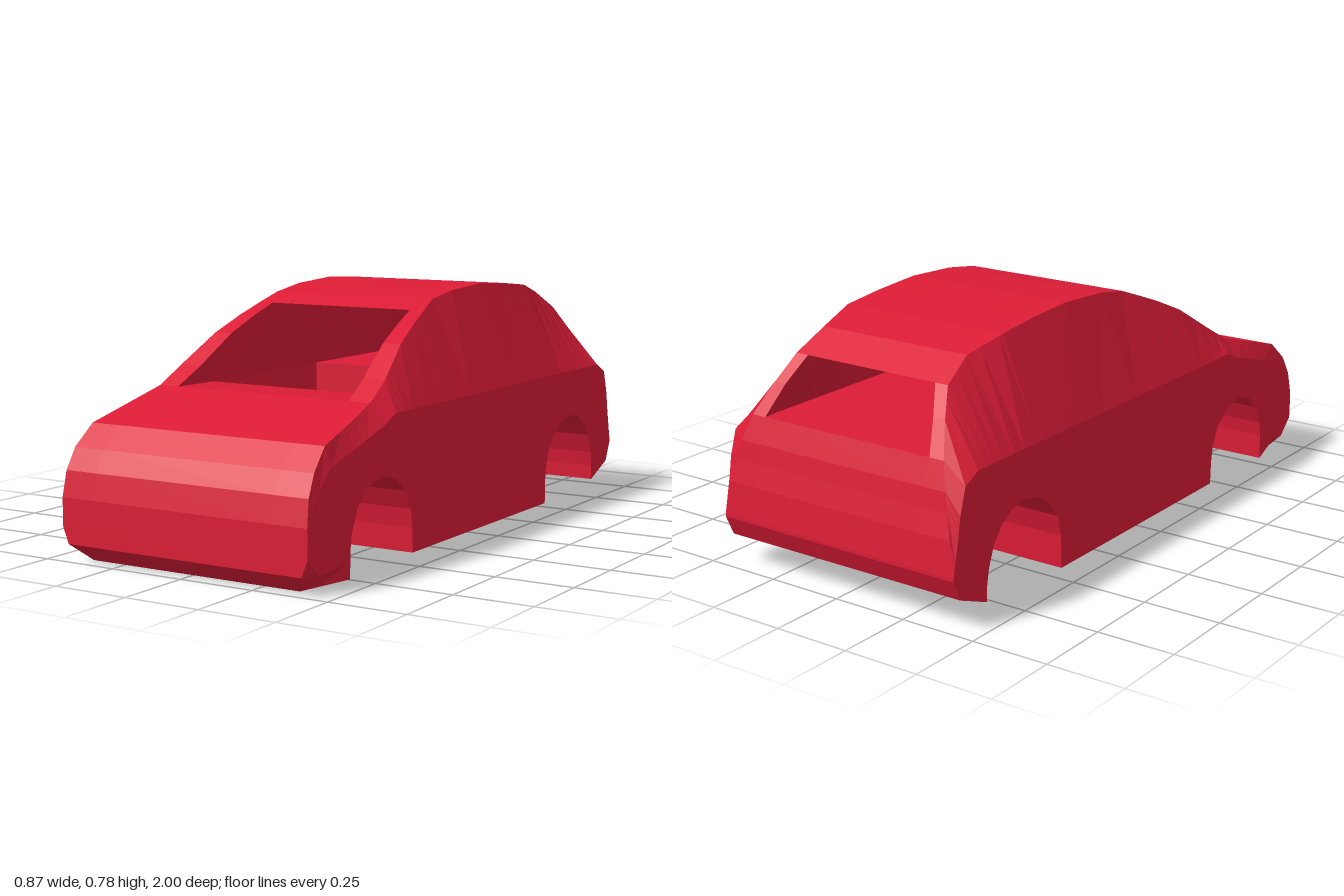
import * as THREE from 'three';

// Side outline, front to back: [z, height, half width of the upper edge]
const TOP = [[1, .2, .435], [.985, .28, .43], [.95, .345, .425], [.88, .41, .415], [.72, .455, .4], [.59, .493, .385],
  [.49, .55, .375], [.35, .64, .345], [.24, .69, .325], [.15, .725, .31], [.07, .755, .295], [-.06, .775, .295],
  [-.25, .785, .295], [-.42, .775, .295], [-.57, .76, .295], [-.71, .725, .27], [-.82, .665, .285], [-.88, .585, .32],
  [-.94, .49, .36], [-.965, .41, .385], [-.975, .35, .4], [-.99, .28, .415], [-1, .175, .435]];
// Underside with both wheel arches: [z, height, half width]
const BOTTOM = [[1, .06, .415], [.94, .005, .37], [.781, .015, .435], [.779, .1, .435], [.77, .15, .435], [.74, .215, .435],
  [.685, .265, .435], [.605, .285, .435], [.53, .265, .435], [.47, .22, .435], [.44, .16, .435], [.431, .1, .435],
  [.429, .025, .435], [-.469, .025, .435], [-.471, .13, .435], [-.49, .2, .435], [-.53, .25, .435], [-.585, .29, .435],
  [-.66, .305, .435], [-.72, .295, .435], [-.77, .265, .435], [-.81, .215, .435], [-.835, .15, .435], [-.844, .1, .435],
  [-.846, .05, .435], [-.97, .1, .435], [-1, .165, .435]];
// Cabin ceiling and window rims: [z, height, half width]
const CEILING = [[.59, .493, .315], [.49, .55, .3], [.35, .64, .283], [.24, .69, .27], [.15, .725, .26],
  [-.57, .72, .26], [-.71, .69, .25], [-.82, .665, .24], [-.88, .585, .278], [-.94, .49, .31]];
// Dash, toe board, floor, rear wall and shelf: [z, height]
const FLOOR = [[.59, .493], [.41, .49], [.24, .15], [-.19, .15], [-.192, .49], [-.94, .49]];
const SIDE = .435, BELT = .46;

// Linear lookup of column k at depth z
function at(table, z, k) {
  if (z >= table[0][0]) return table[0][k];
  for (let i = 1; i < table.length; i++) {
    const a = table[i - 1], b = table[i];
    if (z >= b[0]) return a[k] + (b[k] - a[k]) * (a[0] - z) / (a[0] - b[0]);
  }
  return table[table.length - 1][k];
}

const stations = (...tables) =>
  [...new Set(tables.flatMap(t => t.map(p => p[0])))].sort((a, b) => b - a);

// Mirrors a half section (top to bottom on +x) into a closed loop, anticlockwise from the front
const loop = (half, z) => [
  ...[...half].reverse().map(([x, y]) => new THREE.Vector3(x, y, z)),
  ...half.map(([x, y]) => new THREE.Vector3(-x, y, z)),
];

function outerSection(z) {
  const y = at(TOP, z, 1), w = at(TOP, z, 2), low = at(BOTTOM, z, 1);
  const belt = Math.max(low, Math.min(BELT, y - .06));
  return loop([[Math.min(at(CEILING, z, 2), w - .01), y], [w, y], [SIDE, belt],
    [SIDE, Math.min(low + .05, belt)], [at(BOTTOM, z, 2), low]], z);
}

function innerSection(z) {
  const y = at(CEILING, z, 1), w = at(CEILING, z, 2), low = at(FLOOR, z, 1);
  const shelf = Math.min(y, .49), wall = .313;
  return loop([[w, y], [wall, Math.max(shelf, low)], [wall, low]], z);
}

// Skins a row of loops; skip(z, j) leaves a strip open
function loft(sections, { inward = false, caps = false, skip = () => false }) {
  const pos = [];
  const tri = (a, b, c) => {
    const area = b.clone().sub(a).cross(c.clone().sub(a)).length();
    if (area < 1e-8) return;
    for (const p of inward ? [a, c, b] : [a, b, c]) pos.push(p.x, p.y, p.z);
  };
  for (let i = 0; i + 1 < sections.length; i++) {
    const s = sections[i], t = sections[i + 1], n = s.length;
    const mid = (s[0].z + t[0].z) / 2;
    for (let j = 0; j < n; j++) {
      if (skip(mid, j)) continue;
      const k = (j + 1) % n;
      tri(s[j], t[j], t[k]);
      tri(s[j], t[k], s[k]);
    }
  }
  if (caps) {
    const f = sections[0], b = sections[sections.length - 1];
    for (let j = 1; j + 1 < f.length; j++) {
      tri(f[0], f[j], f[j + 1]);
      tri(b[0], b[j + 1], b[j]);
    }
  }
  const geo = new THREE.BufferGeometry();
  geo.setAttribute('position', new THREE.Float32BufferAttribute(pos, 3));
  geo.computeVertexNormals();
  return geo;
}

const inWindow = z => (z < .59 && z > .15) || (z < -.82 && z > -.94);

export function createModel() {
  const group = new THREE.Group();
  group.name = 'carBody';
  const paint = new THREE.MeshStandardMaterial({ color: 0xdc1c36, flatShading: true });

  // Outer shell, open at the windscreen and rear window (strip 4 spans the top)
  const shell = new THREE.Mesh(loft(stations(TOP, BOTTOM, CEILING).map(outerSection),
    { caps: true, skip: (z, j) => j === 4 && inWindow(z) }), paint);
  shell.name = 'bodyShell';

  // Cabin hollow, seen through the windows (strip 2 is the ceiling)
  const cabin = new THREE.Mesh(loft(stations(CEILING, FLOOR).map(innerSection),
    { inward: true, skip: (z, j) => j === 2 && inWindow(z) }), paint);
  cabin.name = 'cabinInterior';

  group.add(shell, cabin);
  return group;
}
